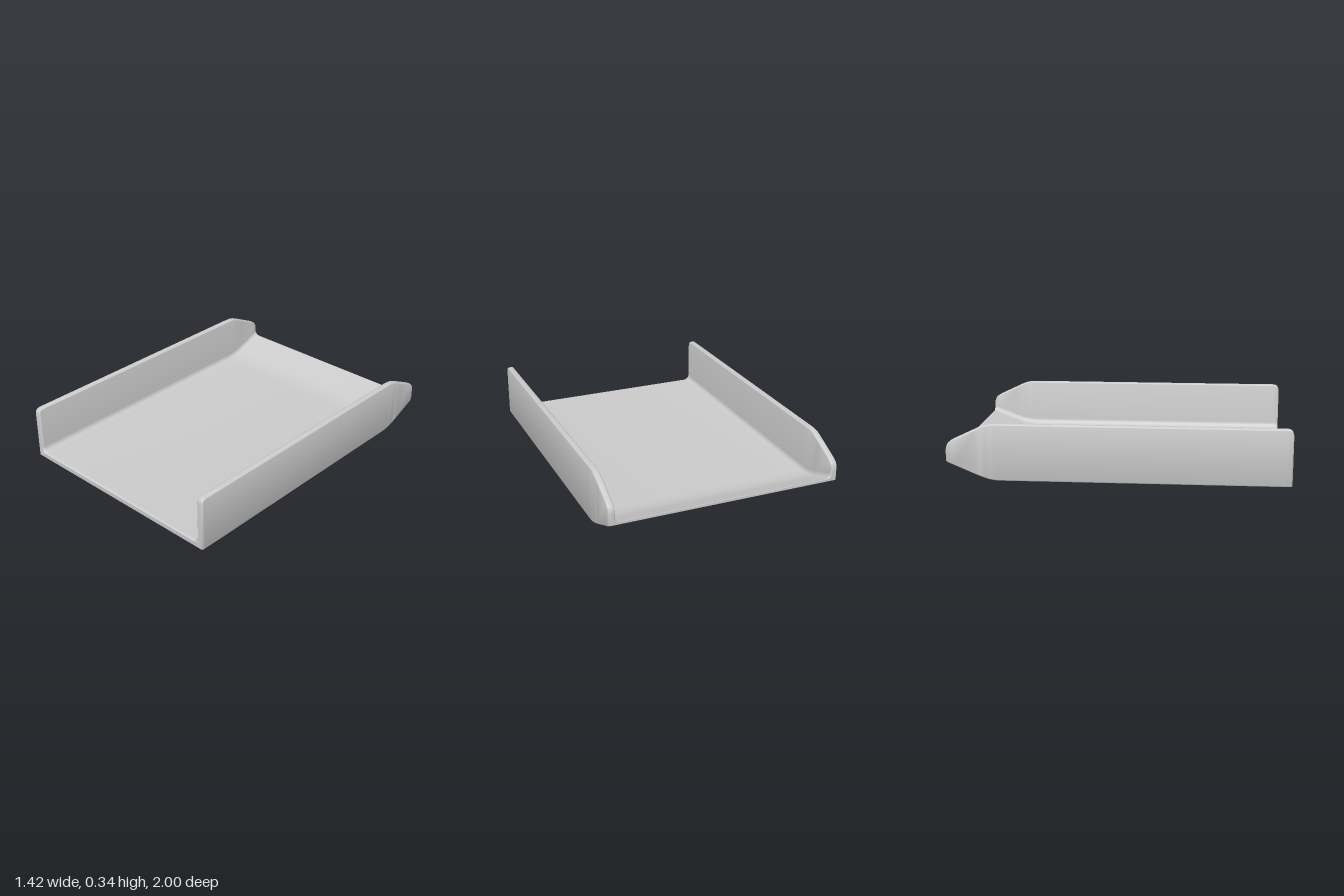
import * as THREE from 'three';
import { toCreasedNormals } from 'three/addons/utils/BufferGeometryUtils.js';

const HALF_WIDTH = 0.71, WALL = 0.04;

// Stations from front to back: z, underside, floor, rim height, edge inset
const STATIONS = [
  [1, 0.003, 0.03, 0.3, 0.007],
  [0.997, 0.001, 0.033, 0.313, 0.003],
  [0.991, 0, 0.035, 0.325, 0],
  [0.982, 0, 0.035, 0.332, 0],
  [0.968, 0, 0.035, 0.336, 0],
  [-0.68, 0, 0.035, 0.336, 0],
  [-0.71, 0.001, 0.036, 0.336, 0],
  [-0.74, 0.006, 0.039, 0.334, 0],
  [-0.77, 0.014, 0.044, 0.328, 0],
  [-0.8, 0.025, 0.051, 0.316, 0],
  [-0.83, 0.037, 0.061, 0.302, 0],
  [-0.95, 0.088, 0.107, 0.245, 0],
  [-0.97, 0.096, 0.114, 0.234, 0],
  [-0.984, 0.102, 0.12, 0.222, 0],
  [-0.994, 0.107, 0.124, 0.207, 0.002],
  [-1, 0.111, 0.124, 0.185, 0.007],
];

// Closed outline with circular corners, each corner given as [x, y, radius]
function roundedOutline(corners, steps = 6) {
  const points = [];
  corners.forEach(([x, y, r], i) => {
    const c = new THREE.Vector2(x, y);
    const toward = (k) => {
      const [px, py] = corners[(i + k + corners.length) % corners.length];
      return new THREE.Vector2(px, py).sub(c).setLength(r);
    };
    const a = toward(-1), b = toward(1);
    for (let s = 0; s <= steps; s++) {
      const t = (s / steps) * Math.PI / 2;
      points.push(c.clone()
        .addScaledVector(a, 1 - Math.sin(t))
        .addScaledVector(b, 1 - Math.cos(t)));
    }
  });
  return points;
}

// U-shaped cross-section, counter-clockwise seen from the front
function section([, bottom, floor, top, inset]) {
  const out = HALF_WIDTH - inset, inn = HALF_WIDTH - WALL + inset;
  const rim = 0.012 - inset * 0.5, foot = 0.006, fillet = 0.036;
  return roundedOutline([
    [-out, bottom, foot], [out, bottom, foot],
    [out, top, rim], [inn, top, rim],
    [inn, floor, fillet], [-inn, floor, fillet],
    [-inn, top, rim], [-out, top, rim],
  ]);
}

function trayGeometry() {
  const rings = STATIONS.map(section);
  const n = rings[0].length;
  const positions = [], index = [];
  rings.forEach((ring, k) => ring.forEach((p) => positions.push(p.x, p.y, STATIONS[k][0])));

  // Skin between neighbouring sections
  for (let k = 0; k < rings.length - 1; k++) {
    for (let i = 0; i < n; i++) {
      const j = (i + 1) % n, a = k * n, b = a + n;
      index.push(a + i, b + i, b + j, a + i, b + j, a + j);
    }
  }
  // End faces
  const last = (rings.length - 1) * n;
  for (const [a, b, c] of THREE.ShapeUtils.triangulateShape(rings[0], [])) index.push(a, b, c);
  for (const [a, b, c] of THREE.ShapeUtils.triangulateShape(rings[rings.length - 1], []))
    index.push(last + a, last + c, last + b);

  const geometry = new THREE.BufferGeometry();
  geometry.setAttribute('position', new THREE.Float32BufferAttribute(positions, 3));
  geometry.setIndex(index);
  return toCreasedNormals(geometry, 0.6);
}

export function createModel() {
  const group = new THREE.Group();
  group.name = 'tray';
  // Floor and both side walls in one continuous body
  const body = new THREE.Mesh(trayGeometry(), new THREE.MeshStandardMaterial({ color: 0xcccccc }));
  body.name = 'trayBody';
  group.add(body);
  return group;
}
